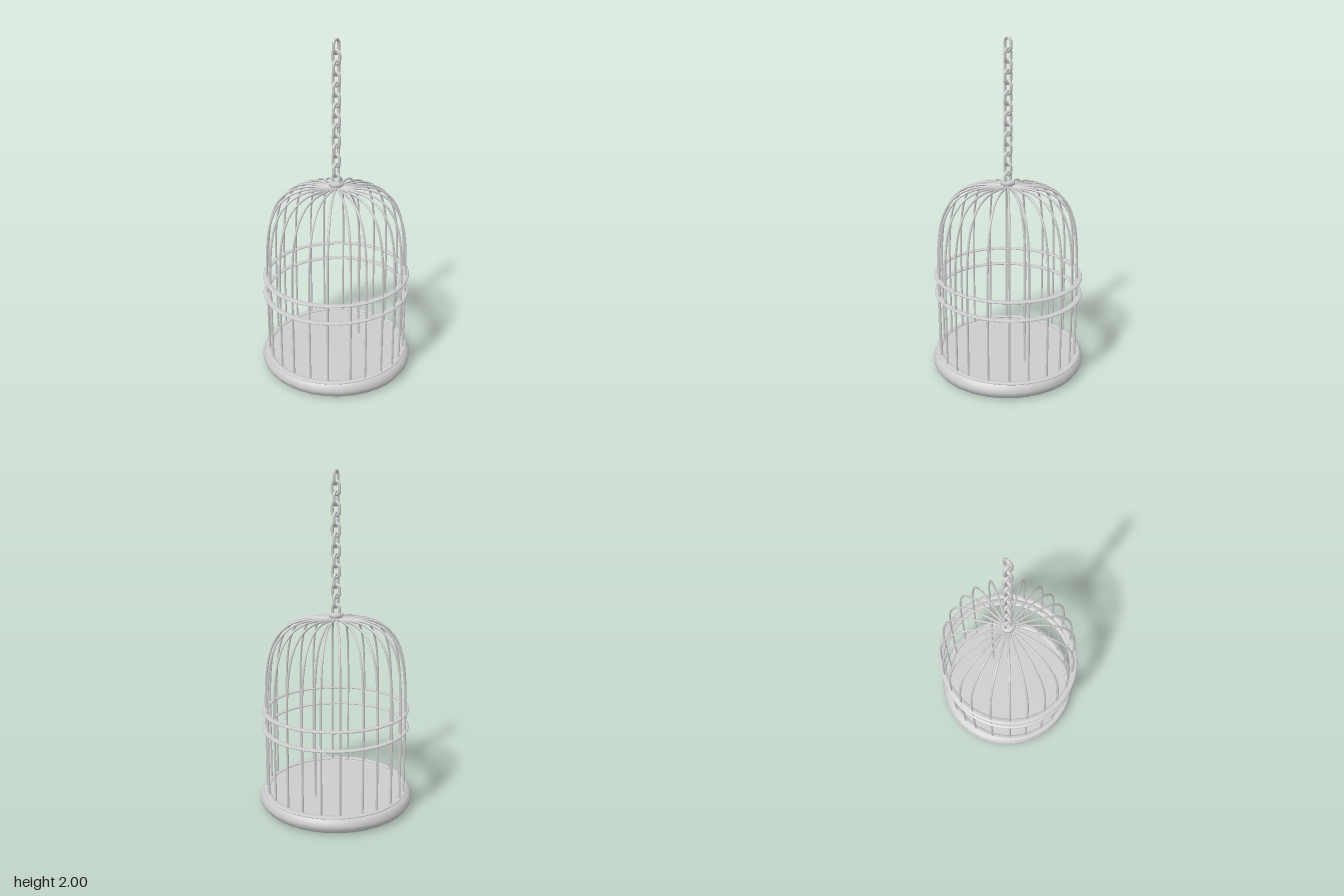
import * as THREE from 'three';

const material = new THREE.MeshStandardMaterial({ color: 0xcccccc });

function addMesh(parent, geometry, name) {
  const mesh = new THREE.Mesh(geometry, material);
  mesh.name = name;
  parent.add(mesh);
  return mesh;
}

const lathe = (profile, sides) =>
  new THREE.LatheGeometry(profile.map(([r, y]) => new THREE.Vector2(r, y)), sides);

// Bar following [radius, height] points in a vertical plane
function barGeometry(points, radius = 0.0065) {
  const curve = new THREE.CatmullRomCurve3(points.map(([x, y]) => new THREE.Vector3(x, y, 0)));
  return new THREE.TubeGeometry(curve, 64, radius, 8);
}

// Oblong chain link in the xy plane
function linkGeometry(width, height, tube) {
  const r = width / 2 - tube;
  const half = height / 2 - tube - r;
  const path = new THREE.Path();
  path.absarc(0, half, r, 0, Math.PI);
  path.absarc(0, -half, r, Math.PI, Math.PI * 2);
  path.closePath();
  const points = path.getSpacedPoints(24).slice(0, -1).map(p => new THREE.Vector3(p.x, p.y, 0));
  return new THREE.TubeGeometry(new THREE.CatmullRomCurve3(points, true), 40, tube, 10, true);
}

export function createModel() {
  const model = new THREE.Group();
  model.name = 'birdcage';

  // Solid base tray with a bulging side
  addMesh(model, lathe([
    [0, 0], [0.432, 0], [0.432, 0], [0.45, 0.012], [0.464, 0.034], [0.467, 0.052],
    [0.46, 0.075], [0.446, 0.092], [0.43, 0.096], [0.41, 0.09], [0.41, 0.09], [0, 0.09],
  ], 36), 'base');

  // Flat oval bands: one on the base, two around the bars
  for (const y of [0.097, 0.49, 0.6]) {
    const geometry = new THREE.TorusGeometry(0.42, 0.019, 10, 64);
    geometry.rotateX(Math.PI / 2);
    geometry.scale(1, 0.35, 1.045);
    addMesh(model, geometry, 'band').position.y = y;
  }

  // Twelve hoops crossing at the top of the dome
  const side = [
    [0.423, 0.09], [0.423, 0.3], [0.423, 0.5], [0.422, 0.65], [0.415, 0.8], [0.395, 0.93],
    [0.355, 1.03], [0.29, 1.1], [0.2, 1.137], [0.1, 1.145],
  ];
  const hoop = [...side, [0, 1.147], ...side.map(([x, y]) => [-x, y]).reverse()];
  const hoopGeometry = barGeometry(hoop);
  const bars = new THREE.Group();
  bars.name = 'bars';
  model.add(bars);
  // Compass angles in degrees, measured from the back towards +x
  const angles = [-1, 13, 29, 44, 60.5, 77.8, 90, 104, 119.3, 131.8, 149.4, 163.9];
  const turn = degrees => THREE.MathUtils.degToRad(90 - degrees);
  for (const angle of angles) addMesh(bars, hoopGeometry, 'hoop').rotation.y = turn(angle);

  // Loose inner bar hanging from the dome
  addMesh(bars, barGeometry([
    [-0.19, 1.135], [-0.1, 1.142], [0, 1.142], [0.07, 1.12], [0.13, 1.05], [0.17, 0.93],
    [0.188, 0.75], [0.19, 0.5], [0.19, 0.3], [0.19, 0.09],
  ]), 'innerBar').rotation.y = turn(13);

  // Cap where the hoops meet
  addMesh(model, lathe([
    [0, 1.135], [0.03, 1.135], [0.034, 1.155], [0.042, 1.158], [0.042, 1.172],
    [0.036, 1.178], [0.018, 1.18], [0, 1.18],
  ], 24), 'cap');

  // Chain of links, each a quarter turn from the next
  const chain = new THREE.Group();
  chain.name = 'chain';
  model.add(chain);
  const link = linkGeometry(0.065, 0.0925, 0.0088);
  for (let i = 0; i < 14; i++) {
    const mesh = addMesh(chain, link, 'chainLink');
    mesh.position.y = 1.9537 - i * 0.0585;
    mesh.rotation.y = i % 2 ? 0 : Math.PI / 2;
  }

  return model;
}
